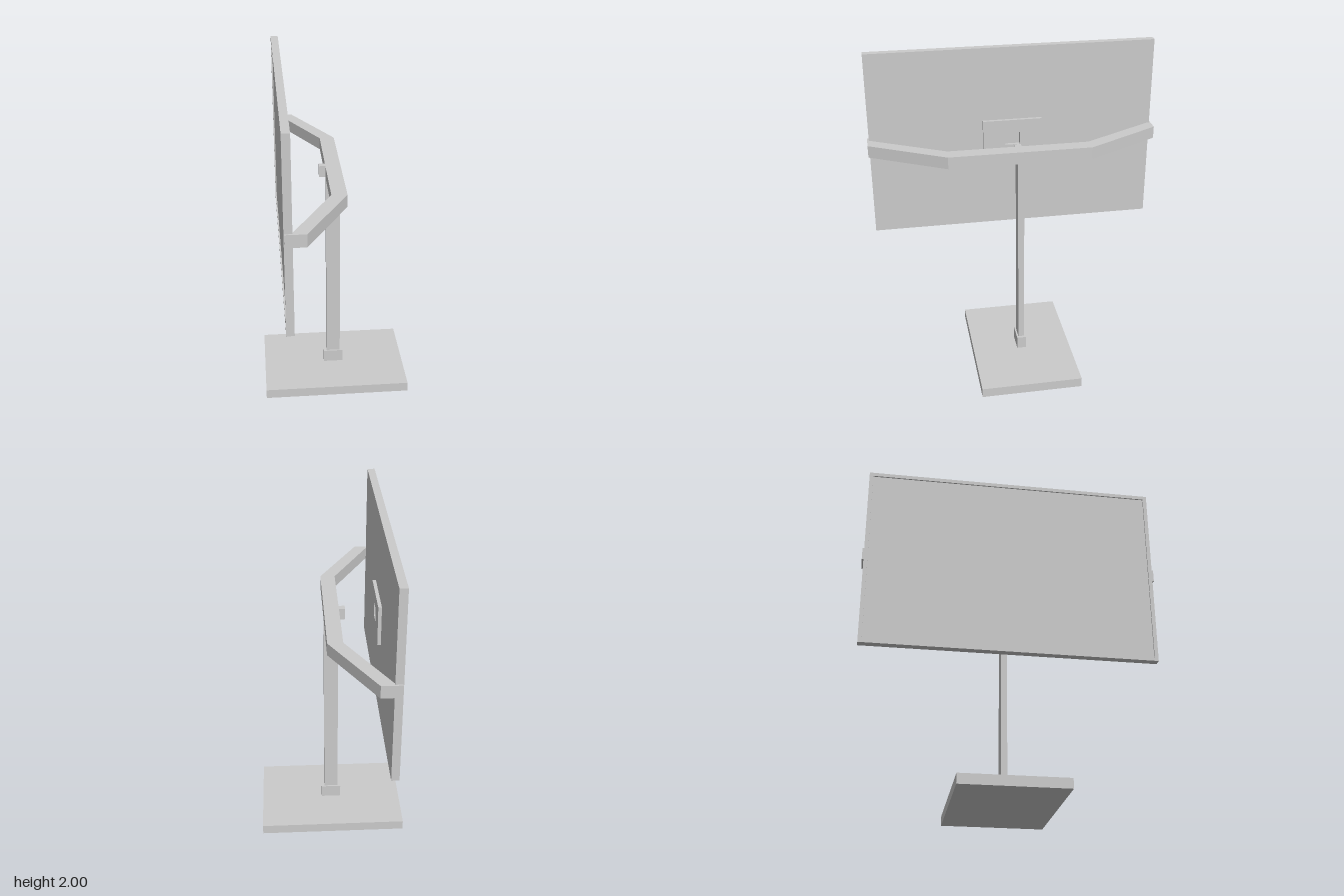
import * as THREE from 'three';

const mat = new THREE.MeshStandardMaterial({ color: 0xcccccc, flatShading: true });

function add(group, name, geometry) {
  const mesh = new THREE.Mesh(geometry, mat);
  mesh.name = name;
  group.add(mesh);
  return mesh;
}

// Box given by its minimum and maximum corners
function box(group, name, [x0, y0, z0], [x1, y1, z1]) {
  const mesh = add(group, name, new THREE.BoxGeometry(x1 - x0, y1 - y0, z1 - z0));
  mesh.position.set((x0 + x1) / 2, (y0 + y1) / 2, (z0 + z1) / 2);
  return mesh;
}

function rectPoints(w, h) {
  return [[-w, -h], [w, -h], [w, h], [-w, h]].map(([x, y]) => new THREE.Vector2(x / 2, y / 2));
}

// Upright rectangular frame in the z-y plane, extruded along x from x0 to x1
function frame(group, name, x0, x1, yMid, w, h, holeW, holeH) {
  const shape = new THREE.Shape(rectPoints(w, h));
  shape.holes.push(new THREE.Path(rectPoints(holeW, holeH)));
  const geometry = new THREE.ExtrudeGeometry(shape, { depth: x1 - x0, bevelEnabled: false });
  geometry.rotateY(Math.PI / 2);
  const mesh = add(group, name, geometry);
  mesh.position.set(x0, yMid, 0);
  return mesh;
}

export function createModel() {
  const model = new THREE.Group();
  model.name = 'displayStand';

  // Stand
  box(model, 'base', [-0.45, 0, -0.315], [0.45, 0.06, 0.315]);
  box(model, 'postCollar', [-0.063, 0.06, -0.029], [0.06, 0.14, 0.029]);
  box(model, 'post', [-0.045, 0.06, -0.019], [0.042, 1.385, 0.019]);
  box(model, 'armHook', [-0.085, 1.385, -0.02], [-0.04, 1.455, 0.02]);

  // Angled arm that wraps round both side edges of the display
  const half = [[0.042, 0.435], [-0.21, 0.893], [-0.328, 0.893], [-0.328, 0.883], [-0.292, 0.883], [-0.048, 0.43]];
  const outline = [...half, ...half.map(([x, z]) => [x, -z]).reverse()];
  const armShape = new THREE.Shape(outline.map(([x, z]) => new THREE.Vector2(x, z)));
  const armGeometry = new THREE.ExtrudeGeometry(armShape, { depth: 0.075, bevelEnabled: false });
  armGeometry.rotateX(-Math.PI / 2);
  add(model, 'arm', armGeometry).position.y = 1.381;

  // Display: back panel, then a thin raised rim round the screen
  const display = new THREE.Group();
  display.name = 'display';
  box(display, 'displayPanel', [-0.323, 0.838, -0.883], [-0.285, 2, 0.883]);
  frame(display, 'screenRim', -0.331, -0.323, 1.419, 1.766, 1.162, 1.72, 1.116);
  // Mounting plate with a square opening
  frame(display, 'mountPlate', -0.285, -0.264, 1.419, 0.368, 0.244, 0.09, 0.08);
  model.add(display);

  return model;
}
